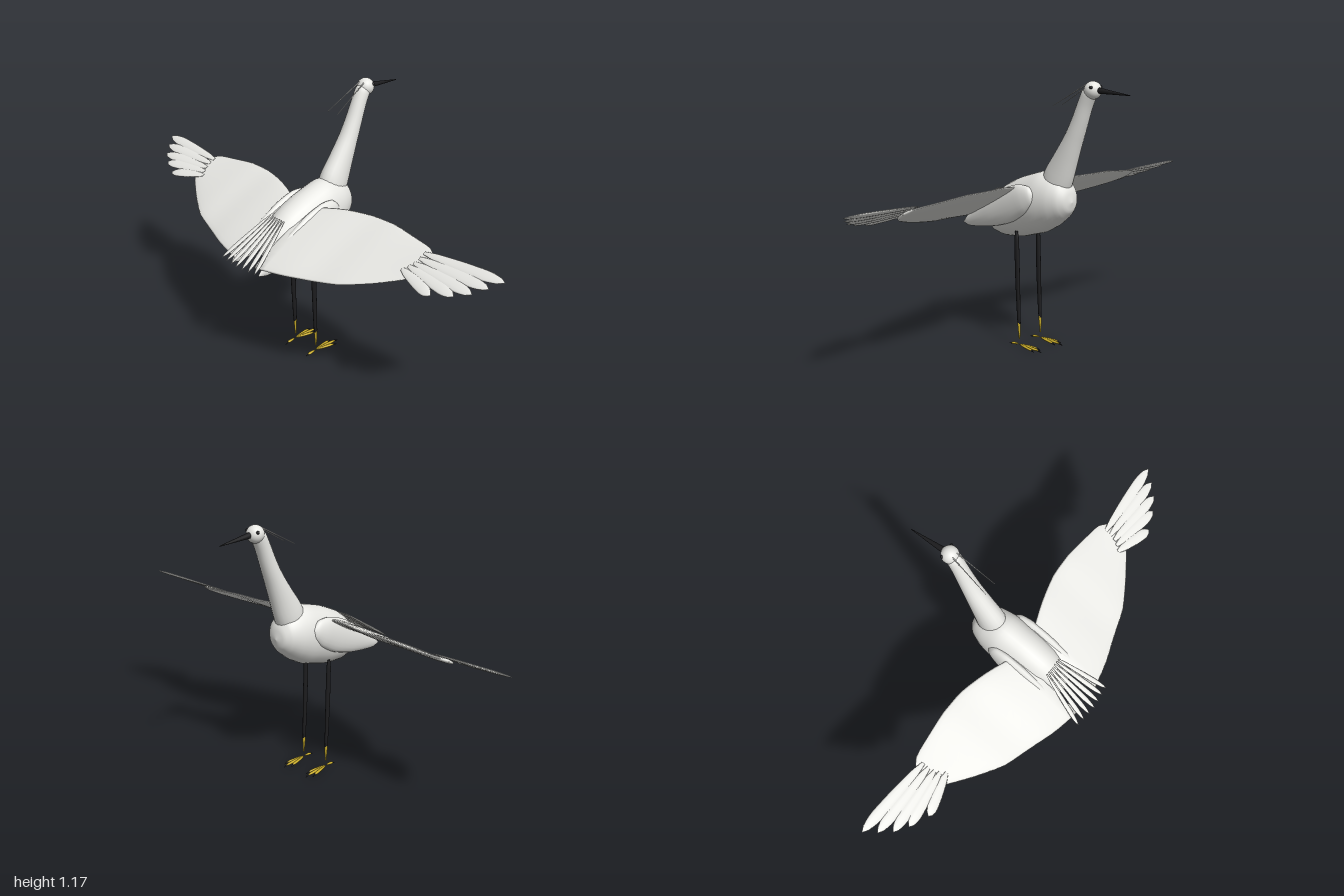
import * as THREE from 'three';

const V = (x, y, z) => new THREE.Vector3(x, y, z);
const mat = (name, color, double) => {
  const m = new THREE.MeshStandardMaterial({ color });
  m.name = name;
  if (double) m.side = THREE.DoubleSide;
  return m;
};

// Smooth closed skin through elliptical sections [x, y, z, halfU, halfV]
function loft(stations, u, v, steps = 4, sides = 20) {
  const centres = new THREE.CatmullRomCurve3(stations.map(s => V(s[0], s[1], s[2])));
  const sizes = new THREE.CatmullRomCurve3(stations.map(s => V(s[3], s[4], 0)));
  const rows = (stations.length - 1) * steps;
  const axis = centres.getPoint(1).sub(centres.getPoint(0));
  const w = u.clone().cross(v).dot(axis) < 0 ? v.clone().negate() : v;
  const pos = [], idx = [];
  for (let i = 0; i <= rows; i++) {
    const c = centres.getPoint(i / rows), r = sizes.getPoint(i / rows);
    for (let j = 0; j < sides; j++) {
      const a = (j / sides) * Math.PI * 2;
      const p = c.clone()
        .addScaledVector(u, Math.max(r.x, 0.0003) * Math.cos(a))
        .addScaledVector(w, Math.max(r.y, 0.0003) * Math.sin(a));
      pos.push(p.x, p.y, p.z);
      if (i < rows) {
        const k = i * sides + j, n = i * sides + (j + 1) % sides;
        idx.push(k, n, k + sides, n, n + sides, k + sides);
      }
    }
  }
  // end caps
  for (let j = 1; j < sides - 1; j++) {
    const e = rows * sides;
    idx.push(0, j + 1, j, e, e + j, e + j + 1);
  }
  const g = new THREE.BufferGeometry();
  g.setAttribute('position', new THREE.Float32BufferAttribute(pos, 3));
  g.setIndex(idx);
  g.computeVertexNormals();
  return g;
}

// Slim leaf shape between two points
function leaf(from, to, width, thick, u, v) {
  const shape = [[0, 0.3], [0.15, 0.65], [0.5, 0.95], [0.75, 1], [0.93, 0.6], [1, 0]];
  return loft(shape.map(([t, s]) => {
    const p = from.clone().lerp(to, t);
    return [p.x, p.y, p.z, width * s, thick * s];
  }), u, v, 3, 10);
}

// Tapered round rod
function rod(from, to, r0, r1) {
  const d = to.clone().sub(from);
  const g = new THREE.CylinderGeometry(r1, r0, d.length(), 12);
  g.applyQuaternion(new THREE.Quaternion().setFromUnitVectors(V(0, 1, 0), d.clone().normalize()));
  const c = from.clone().add(to).multiplyScalar(0.5);
  return g.translate(c.x, c.y, c.z);
}

export function createModel() {
  const model = new THREE.Group();
  model.name = 'wadingBird';
  const white = mat('plumage', 0xe8e8e4, true);
  const black = mat('black', 0x1c1c1e);
  const yellow = mat('yellow', 0xc9ac2a);
  const add = (name, geo, m, parent = model) => {
    const mesh = new THREE.Mesh(geo, m);
    mesh.name = name;
    parent.add(mesh);
    return mesh;
  };
  const X = V(1, 0, 0), Y = V(0, 1, 0), Z = V(0, 0, 1);

  // Body
  add('body', loft([
    [-0.308, 0.55, 0, 0.004, 0.004], [-0.298, 0.555, 0, 0.05, 0.036], [-0.27, 0.57, 0, 0.085, 0.064],
    [-0.2, 0.593, 0, 0.117, 0.09], [-0.1, 0.621, 0, 0.134, 0.1], [0, 0.65, 0, 0.135, 0.1],
    [0.08, 0.667, 0, 0.112, 0.09], [0.13, 0.675, 0, 0.08, 0.07], [0.155, 0.672, 0, 0.045, 0.042],
    [0.165, 0.668, 0, 0.002, 0.002],
  ], Y, Z, 4, 32), white);

  // Neck and head
  add('neck', loft([
    [0.07, 0.72, 0, 0.07, 0.057], [0.09, 0.77, 0, 0.07, 0.055], [0.13, 0.85, 0, 0.056, 0.048],
    [0.172, 0.935, 0, 0.042, 0.041], [0.205, 1.01, 0, 0.036, 0.036], [0.233, 1.08, 0, 0.033, 0.033],
    [0.255, 1.125, 0, 0.033, 0.032], [0.272, 1.15, 0, 0.02, 0.02],
  ], V(0.9, -0.43, 0).normalize(), Z), white);
  add('head', new THREE.SphereGeometry(0.037, 24, 16).translate(0.272, 1.139, 0), white);
  add('beak', rod(V(0.295, 1.14, 0), V(0.462, 1.127, 0), 0.013, 0.0015), black);

  // Tail fan
  const along = V(-0.84, -0.54, 0).normalize();
  for (let i = -3; i <= 3; i++) {
    const from = V(-0.235, 0.69, i * 0.014);
    const to = V(-0.462 + Math.abs(i) * 0.004, 0.546, i * 0.034);
    add('tailFeather', leaf(from, to, 0.011, 0.005, Z, V(-along.y, along.x, 0)), white);
  }

  const chord = V(0.894, 0.447, 0), lift = V(-0.447, 0.894, 0);
  for (const s of [1, -1]) {
    const side = s > 0 ? 'left' : 'right';

    // Eye and crest plume
    add(side + 'Eye', new THREE.SphereGeometry(0.007, 12, 8).translate(0.287, 1.152, s * 0.03), black);
    add(side + 'CrestPlume', rod(V(0.25, 1.163, s * 0.012), V(0.08, 1.068, s * 0.028), 0.0025, 0.001), white);

    // Covert pad on the flank
    add(side + 'Flank', loft([
      [0.032, 0.695, s * 0.085, 0.004, 0.004], [0.01, 0.69, s * 0.088, 0.04, 0.02],
      [-0.04, 0.67, s * 0.09, 0.066, 0.028], [-0.12, 0.635, s * 0.09, 0.075, 0.03],
      [-0.22, 0.592, s * 0.09, 0.064, 0.028], [-0.31, 0.556, s * 0.088, 0.043, 0.022],
      [-0.38, 0.53, s * 0.086, 0.023, 0.013], [-0.412, 0.52, s * 0.085, 0.003, 0.003],
    ], V(-0.36, 0.93, 0), Z), white);

    // Spread wing, sections from root to tip: z, x, y, half chord
    const wing = new THREE.Group();
    wing.name = side + 'Wing';
    model.add(wing);
    add('wingPanel', loft([
      [0.06, -0.25, 0.63, 0.165], [0.2, -0.21, 0.645, 0.175], [0.32, -0.175, 0.652, 0.17],
      [0.43, -0.155, 0.66, 0.155], [0.55, -0.125, 0.668, 0.115], [0.64, -0.1, 0.677, 0.078],
      [0.675, -0.096, 0.68, 0.048], [0.685, -0.096, 0.68, 0.004],
    ].map(([z, x, y, h], i) => [x, y, s * z, h / 0.894, i < 7 ? 0.014 - i * 0.001 : 0.002]),
    chord, lift, 3, 24), white, wing);

    // Flight feathers at the tip: base x, base z, tip x, tip z
    [
      [-0.06, 0.64, -0.04, 1.0], [-0.085, 0.64, -0.085, 0.965], [-0.11, 0.635, -0.128, 0.925],
      [-0.13, 0.625, -0.162, 0.87], [-0.15, 0.61, -0.195, 0.79],
    ].forEach(([x0, z0, x1, z1]) => {
      const h = x => 0.73 + (x + 0.02) * 0.5;
      add('flightFeather', leaf(V(x0, h(x0), s * z0), V(x1, h(x1), s * z1), 0.026, 0.006, chord, lift), white, wing);
    });

    // Leg
    const leg = new THREE.Group();
    leg.name = side + 'Leg';
    model.add(leg);
    const z = s * 0.067;
    add('shank', loft([
      [-0.096, 0.52, z, 0.006, 0.005], [-0.095, 0.48, z, 0.011, 0.009], [-0.092, 0.35, z, 0.012, 0.009],
      [-0.087, 0.2, z, 0.01, 0.008], [-0.083, 0.105, z, 0.008, 0.007],
    ], X, Z, 3, 12), black, leg);
    add('ankle', rod(V(-0.083, 0.11, z), V(-0.081, 0.035, z), 0.0075, 0.003), yellow, leg);

    // Toes with claws: start x, tip x, tip z offset
    [[-0.078, 0.04, 0], [-0.075, 0.015, 0.018], [-0.075, 0.015, -0.018], [-0.088, -0.13, 0]].forEach(([x0, x1, dz]) => {
      const tip = V(x1, 0.007, z + dz);
      add('toe', leaf(V(x0, 0.011, z + dz * 0.2), tip, 0.007, 0.0055, Z, Y), yellow, leg);
      add('claw', rod(V(x1 - Math.sign(x1 - x0) * 0.006, 0.007, z + dz),
        V(x1 + Math.sign(x1 - x0) * 0.012, 0.002, z + dz * 1.1), 0.004, 0.001), black, leg);
    });
  }
  return model;
}
